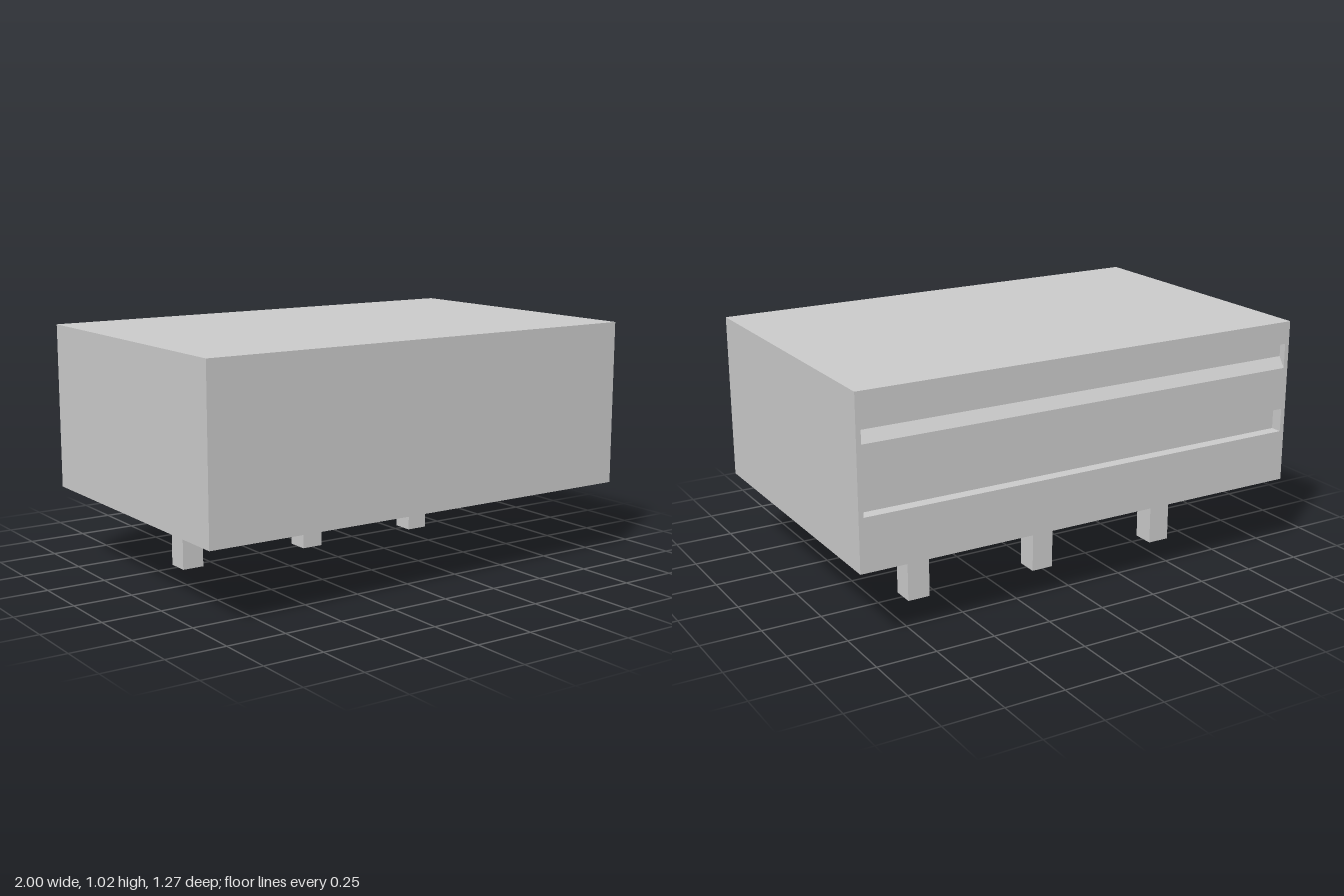
import * as THREE from 'three';
import { mergeGeometries } from 'three/addons/utils/BufferGeometryUtils.js';

const W = 2, BOTTOM = 0.325, TOP = 1.025, BACK = -0.635;
const SLOT_HALF = 0.98;

// Recessed slots: mouth height range, depth, and the height of the floor at the inner wall
const SLOTS = [
  { y0: 0.825, y1: 0.93, depth: 0.03, inner: 0.87 },
  { y0: 0.545, y1: 0.645, depth: 0.05, inner: 0.545 },
];

function quads(list) {
  const pos = [];
  for (const [a, b, c, d] of list) pos.push(...a, ...b, ...c, ...a, ...c, ...d);
  const g = new THREE.BufferGeometry();
  g.setAttribute('position', new THREE.Float32BufferAttribute(pos, 3));
  return g;
}

function positionsOnly(g) {
  const flat = g.index ? g.toNonIndexed() : g;
  flat.deleteAttribute('uv');
  flat.deleteAttribute('normal');
  return flat;
}

// Lining of one slot: ceiling, inner wall, floor and both ends
function slotLining({ y0, y1, depth, inner }) {
  const section = [[y1, BACK], [y1, BACK + depth], [inner, BACK + depth], [y0, BACK]];
  const at = (x, p) => [x, p[0], p[1]];
  const faces = [];
  for (let i = 0; i < 3; i++) {
    const a = section[i], b = section[i + 1];
    faces.push([at(-SLOT_HALF, a), at(SLOT_HALF, a), at(SLOT_HALF, b), at(-SLOT_HALF, b)]);
  }
  faces.push(section.map((p) => at(-SLOT_HALF, p)));
  faces.push([...section].reverse().map((p) => at(SLOT_HALF, p)));
  return quads(faces);
}

function rectangle(target, x, y0, y1) {
  target.moveTo(-x, y0).lineTo(x, y0).lineTo(x, y1).lineTo(-x, y1).closePath();
  return target;
}

function bodyGeometry() {
  // Box without its back face
  const shell = new THREE.BoxGeometry(W, TOP - BOTTOM, -2 * BACK);
  shell.translate(0, (TOP + BOTTOM) / 2, 0);
  shell.setIndex(Array.from(shell.index.array).slice(0, 30));
  shell.clearGroups();

  // Back face pierced by the slots
  const shape = rectangle(new THREE.Shape(), W / 2, BOTTOM, TOP);
  for (const s of SLOTS) shape.holes.push(rectangle(new THREE.Path(), SLOT_HALF, s.y0, s.y1));
  const back = new THREE.ShapeGeometry(shape);
  back.rotateY(Math.PI).translate(0, 0, BACK);

  const g = mergeGeometries([shell, back, ...SLOTS.map(slotLining)].map(positionsOnly));
  g.computeVertexNormals();
  return g;
}

export function createModel() {
  const model = new THREE.Group();
  const material = new THREE.MeshStandardMaterial({ color: 0xcccccc, flatShading: true });

  const body = new THREE.Mesh(bodyGeometry(), material);
  body.name = 'body';
  model.add(body);

  // Row of three square pins under the body
  const pinGeometry = new THREE.BoxGeometry(0.097, BOTTOM, 0.097);
  [['rightPin', -0.608], ['middlePin', 0], ['leftPin', 0.59]].forEach(([name, x]) => {
    const pin = new THREE.Mesh(pinGeometry, material);
    pin.name = name;
    pin.position.set(x, BOTTOM / 2, -0.25);
    model.add(pin);
  });

  return model;
}
